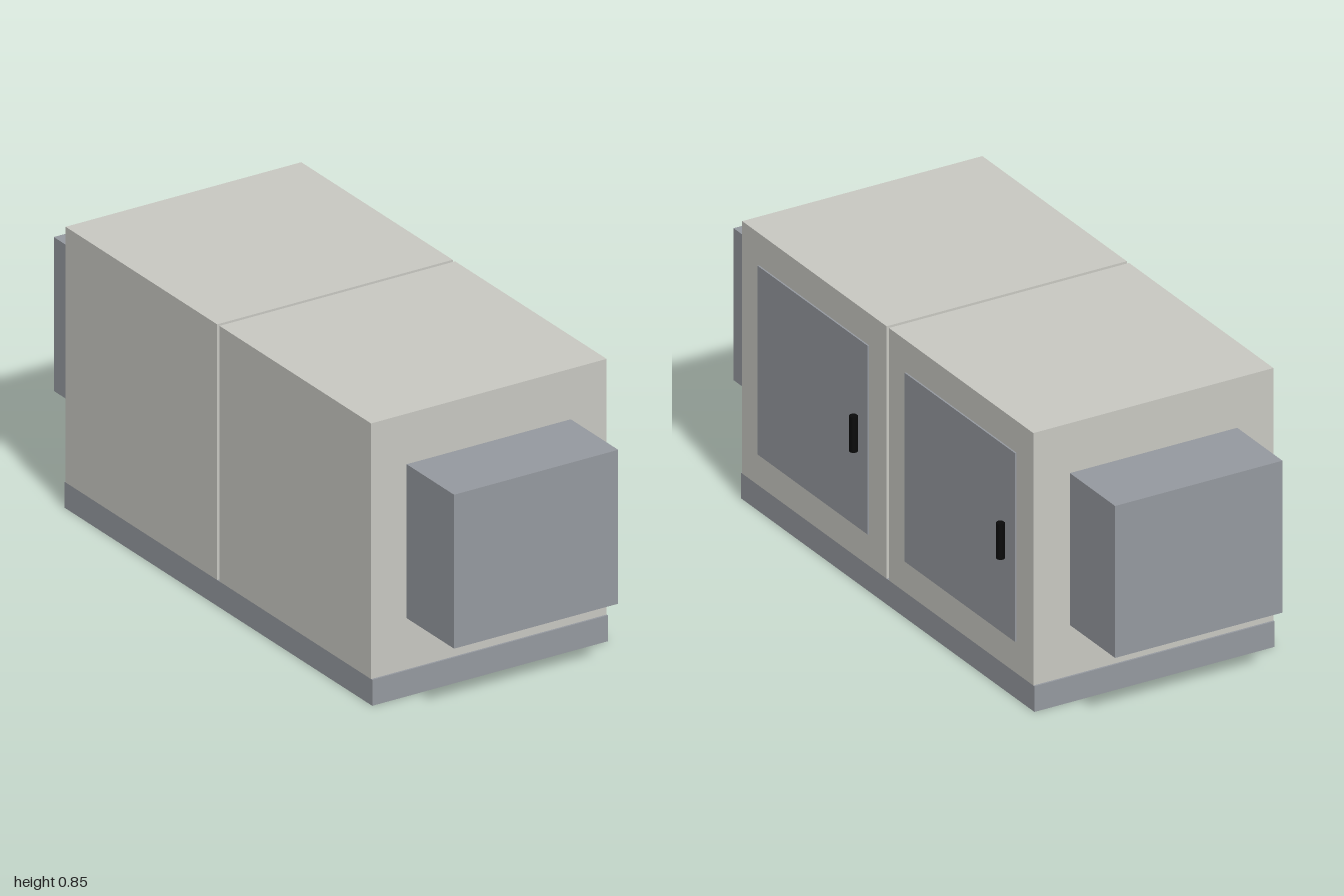
import * as THREE from 'three';

export function createModel() {
  const model = new THREE.Group();
  model.name = 'airHandlingUnit';

  const material = (name, color) => {
    const m = new THREE.MeshStandardMaterial({ color });
    m.name = name;
    return m;
  };
  const casing = material('casing light grey', 0xc8c8c2);
  const steel = material('steel grey', 0x95999f);
  const black = material('handle black', 0x0a0a0a);

  // Box given by its limits along each axis
  const box = (name, mat, [x0, x1], [y0, y1], [z0, z1]) => {
    const mesh = new THREE.Mesh(new THREE.BoxGeometry(x1 - x0, y1 - y0, z1 - z0), mat);
    mesh.name = name;
    mesh.position.set((x0 + x1) / 2, (y0 + y1) / 2, (z0 + z1) / 2);
    model.add(mesh);
  };

  const width = [-0.398, 0.37];
  box('basePlinth', steel, width, [0, 0.078], [-0.769, 0.769]);

  // Two cabinets with a narrow gap, each with a duct at its outer end
  for (const [label, s] of [['front', 1], ['rear', -1]]) {
    const span = (a, b) => (s > 0 ? [a, b] : [-b, -a]);
    box(label + 'Cabinet', casing, width, [0.078, 0.847], span(0.006, 0.763));
    box(label + 'Duct', steel, [-0.282, 0.253], [0.232, 0.695], span(0.763, 1));
    box(label + 'Door', steel, [0.37, 0.375], [0.175, 0.75], span(0.097, 0.674));
  }

  // Upright door handles, both on the rearward... hinge-opposite side of the door
  for (const [label, z] of [['front', 0.153], ['rear', -0.617]]) {
    const handle = new THREE.Mesh(new THREE.CylinderGeometry(0.0125, 0.0125, 0.108, 12), black);
    handle.name = label + 'DoorHandle';
    handle.position.set(0.386, 0.463, z);
    model.add(handle);
  }
  return model;
}
